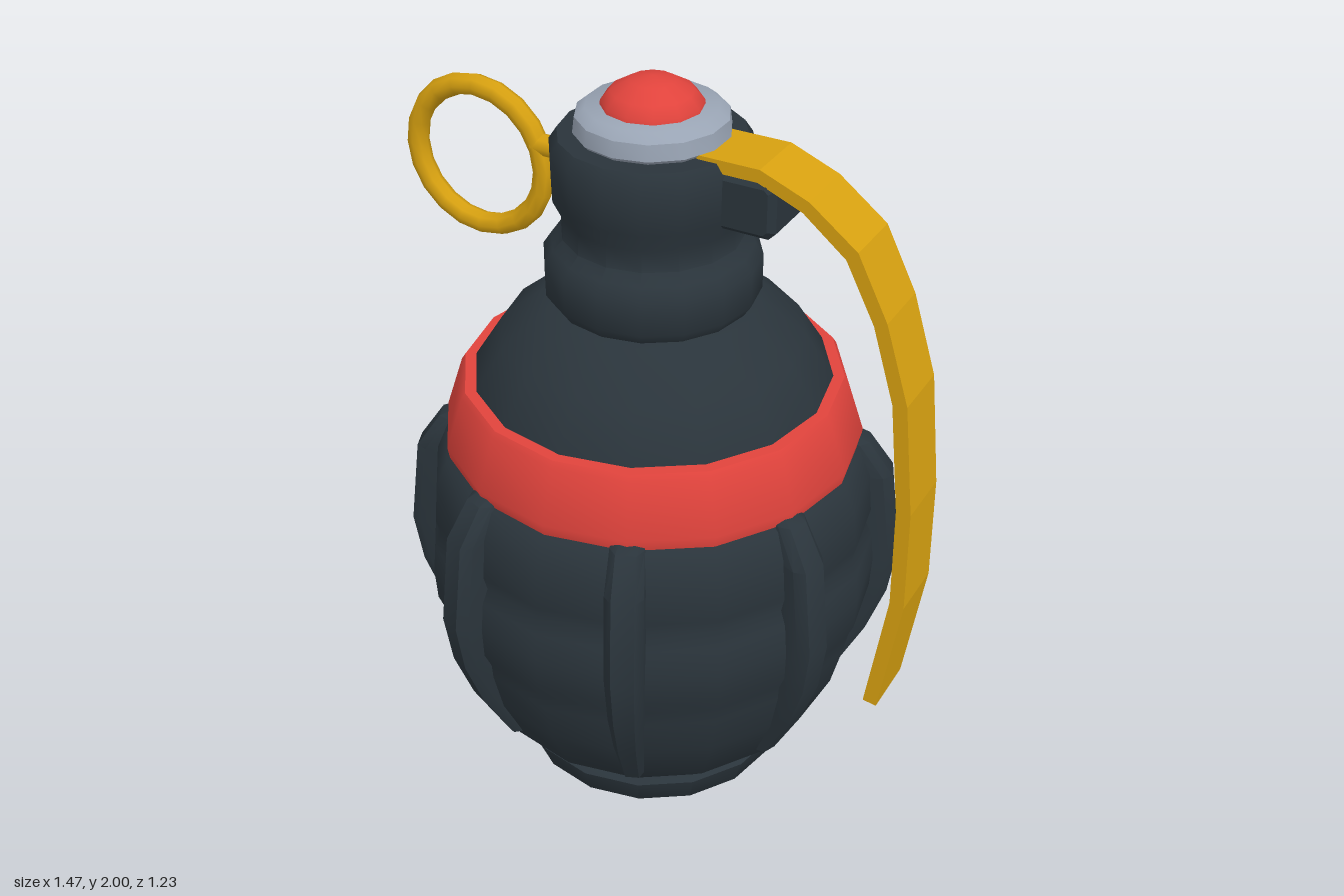
import * as THREE from 'three';
import { toCreasedNormals } from 'three/addons/utils/BufferGeometryUtils.js';

const mat = (name, color) => {
  const m = new THREE.MeshStandardMaterial({ color });
  m.name = name;
  return m;
};

export function createModel() {
  const dark = mat('dark slate', 0x2a343b);
  const red = mat('red', 0xe0433c);
  const gold = mat('gold', 0xd6a010);
  const grey = mat('light grey', 0x99a4b4);

  const group = new THREE.Group();
  const add = (name, geometry, material, x = 0, y = 0, z = 0) => {
    const mesh = new THREE.Mesh(geometry, material);
    mesh.name = name;
    mesh.position.set(x, y, z);
    group.add(mesh);
    return mesh;
  };

  // Turned parts share one slightly offset vertical axis
  const axis = -0.02;
  const turned = (name, profile, material, sides = 16) => {
    const points = profile.map(([r, y]) => new THREE.Vector2(r, y));
    const geometry = toCreasedNormals(new THREE.LatheGeometry(points, sides), 0.75);
    return add(name, geometry, material, axis);
  };

  turned('base', [[0, 0], [0.3, 0], [0.36, 0.035], [0.385, 0.11], [0.37, 0.12], [0.3, 0.12]], dark);
  turned('body', [
    [0.3, 0.11], [0.37, 0.125], [0.465, 0.22], [0.54, 0.38], [0.57, 0.5], [0.575, 0.545],
    [0.595, 0.59], [0.6, 0.68], [0.592, 0.76], [0.575, 0.8], [0.585, 0.84], [0.575, 0.95],
    [0.545, 1.02], [0.5, 1.05],
  ], dark);
  turned('band', [[0.48, 1.03], [0.535, 1.03], [0.54, 1.06], [0.495, 1.2], [0.485, 1.215], [0.44, 1.215]], red);
  turned('shoulder', [[0.46, 1.2], [0.455, 1.22], [0.385, 1.33], [0.27, 1.425], [0.2, 1.435]], dark);
  turned('neck', [
    [0.2, 1.43], [0.25, 1.43], [0.27, 1.46], [0.27, 1.55], [0.25, 1.58], [0.225, 1.605],
    [0.222, 1.66], [0.246, 1.71], [0.248, 1.83], [0.228, 1.86], [0, 1.86],
  ], dark);
  turned('collar', [[0.17, 1.85], [0.19, 1.87], [0.185, 1.91], [0.16, 1.93], [0, 1.93]], grey, 14);
  turned('button', [[0.125, 1.92], [0.122, 1.94], [0.1, 1.965], [0.055, 1.99], [0, 2]], red, 12);

  // Ribs: a six-sided section swept down the body; rows hold y, outer radius, half width
  const rows = [
    [1.05, 0.525, 0.03], [1.035, 0.56, 0.042], [0.94, 0.625, 0.048], [0.7, 0.655, 0.048],
    [0.56, 0.635, 0.044], [0.42, 0.585, 0.038], [0.25, 0.495, 0.03],
  ];
  const ribGeometry = () => {
    const pos = [], index = [], n = 6;
    for (const [y, r, w] of rows) {
      const inner = r - 0.11, side = r - 0.025;
      pos.push(-w, y, inner, -w, y, side, -w * 0.6, y, r, w * 0.6, y, r, w, y, side, w, y, inner);
    }
    for (let i = 0; i < rows.length - 1; i++) {
      for (let j = 0; j < n; j++) {
        const a = i * n + j, b = i * n + (j + 1) % n;
        index.push(a, a + n, b, b, a + n, b + n);
      }
    }
    const last = (rows.length - 1) * n;
    for (let j = 1; j < n - 1; j++) {
      index.push(0, j, j + 1, last, last + j + 1, last + j);
    }
    const geometry = new THREE.BufferGeometry();
    geometry.setAttribute('position', new THREE.Float32BufferAttribute(pos, 3));
    geometry.setIndex(index);
    return toCreasedNormals(geometry, 0.7);
  };
  const rib = ribGeometry();
  for (let i = 0; i < 8; i++) {
    add('rib', rib, dark, axis).rotation.y = (i + 0.5) * Math.PI / 4;
  }

  // Hinge block beside the neck, with bevelled edges
  const block = new THREE.Shape([
    [0.1, 1.71], [0.315, 1.71], [0.325, 1.72], [0.325, 1.815], [0.315, 1.825], [0.1, 1.825],
  ].map(([x, y]) => new THREE.Vector2(x, y)));
  add('hingeBlock', new THREE.ExtrudeGeometry(block, {
    depth: 0.14, bevelEnabled: true, bevelThickness: 0.018, bevelSize: 0.016, bevelSegments: 1,
  }), dark, 0, 0, -0.07);

  // Curved flat lever: outer edge down, inner edge back up
  const lever = new THREE.Shape([
    [0.14, 1.87], [0.3, 1.87], [0.425, 1.82], [0.55, 1.725], [0.632, 1.565], [0.697, 1.36],
    [0.73, 1.06], [0.735, 0.775], [0.685, 0.43],
    [0.648, 0.435], [0.697, 0.78], [0.692, 1.06], [0.66, 1.355], [0.6, 1.55], [0.522, 1.7],
    [0.41, 1.79], [0.295, 1.837], [0.14, 1.837],
  ].map(([x, y]) => new THREE.Vector2(x, y)));
  add('lever', new THREE.ExtrudeGeometry(lever, { depth: 0.164, bevelEnabled: false }), gold, 0, 0, -0.082);

  // Pull ring and its pin
  add('pullRing', new THREE.TorusGeometry(0.188, 0.028, 8, 20), gold, -0.515, 1.685);
  add('pin', new THREE.CylinderGeometry(0.028, 0.028, 0.15, 8), gold, -0.275, 1.755).rotation.z = Math.PI / 2;

  return group;
}
